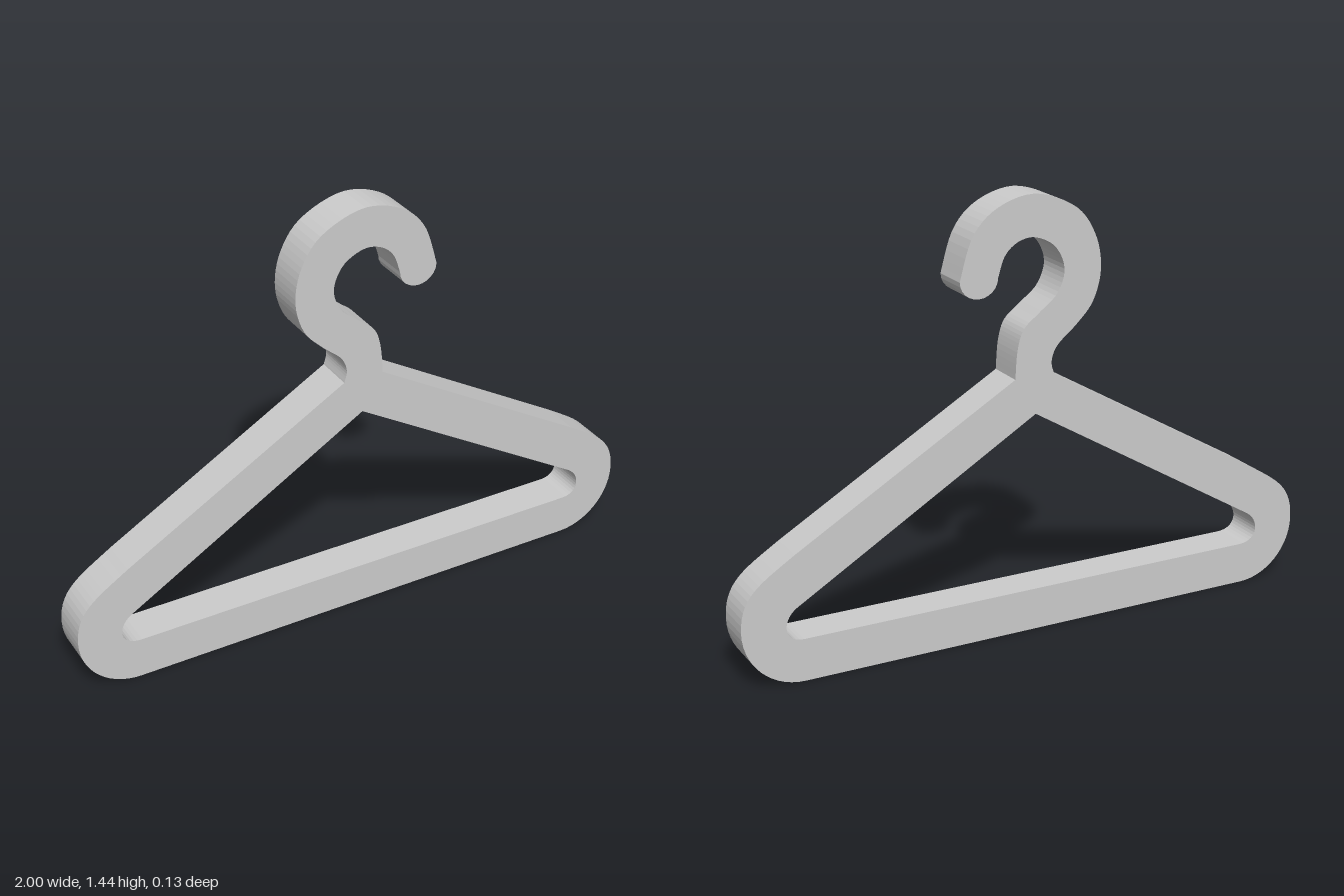
import * as THREE from 'three';

const DEPTH = 0.132;
const V = (x, y) => new THREE.Vector2(x, y);
const spline = (pts, n) => new THREE.SplineCurve(pts.map(p => V(...p))).getPoints(n);

// Outer and inner edge of the hook, from the neck upwards
const hookOuter = [[-0.065, 0.857], [-0.056, 0.9], [-0.078, 0.95], [-0.145, 1.008], [-0.203, 1.075],
  [-0.23, 1.175], [-0.21, 1.285], [-0.14, 1.38], [0, 1.435], [0.13, 1.405], [0.215, 1.325], [0.26, 1.19]];
const hookInner = [[0.13, 1.19], [0.106, 1.255], [0.06, 1.293], [0, 1.3], [-0.068, 1.263],
  [-0.1, 1.19], [-0.075, 1.115], [-0.01, 1.06], [0.042, 1.015], [0.064, 0.95], [0.072, 0.857]];

function outline() {
  const shape = new THREE.Shape();
  // Hook with its rounded tip
  const hook = [...spline(hookOuter, 60)];
  for (let i = 1; i < 12; i++) {
    const a = -Math.PI * i / 12;
    hook.push(V(0.195 + 0.065 * Math.cos(a), 1.19 + 0.06 * Math.sin(a)));
  }
  hook.push(...spline(hookInner, 54));
  shape.setFromPoints(hook);
  // Right shoulder, rounded end, bottom bar, and the same mirrored
  shape.lineTo(0.82, 0.42);
  shape.bezierCurveTo(0.93, 0.35, 1, 0.32, 1, 0.2);
  shape.bezierCurveTo(1, 0.09, 0.91, 0, 0.8, 0);
  shape.lineTo(-0.8, 0);
  shape.bezierCurveTo(-0.91, 0, -1, 0.09, -1, 0.2);
  shape.bezierCurveTo(-1, 0.32, -0.93, 0.35, -0.82, 0.42);
  shape.closePath();
  return shape;
}

// Triangular opening with rounded lower corners
function opening() {
  const hole = new THREE.Path();
  hole.moveTo(0, 0.735);
  hole.lineTo(-0.82, 0.247);
  hole.bezierCurveTo(-0.87, 0.215, -0.87, 0.14, -0.79, 0.14);
  hole.lineTo(0.8, 0.14);
  hole.bezierCurveTo(0.87, 0.14, 0.87, 0.215, 0.82, 0.247);
  hole.closePath();
  return hole;
}

export function createModel() {
  const shape = outline();
  shape.holes.push(opening());
  const geometry = new THREE.ExtrudeGeometry(shape, { depth: DEPTH, bevelEnabled: false, curveSegments: 14 });
  geometry.translate(0, 0, -DEPTH / 2);
  const hanger = new THREE.Mesh(geometry, new THREE.MeshStandardMaterial({ color: 0xcccccc }));
  hanger.name = 'hangerBody';
  const group = new THREE.Group();
  group.name = 'coatHanger';
  group.add(hanger);
  return group;
}
